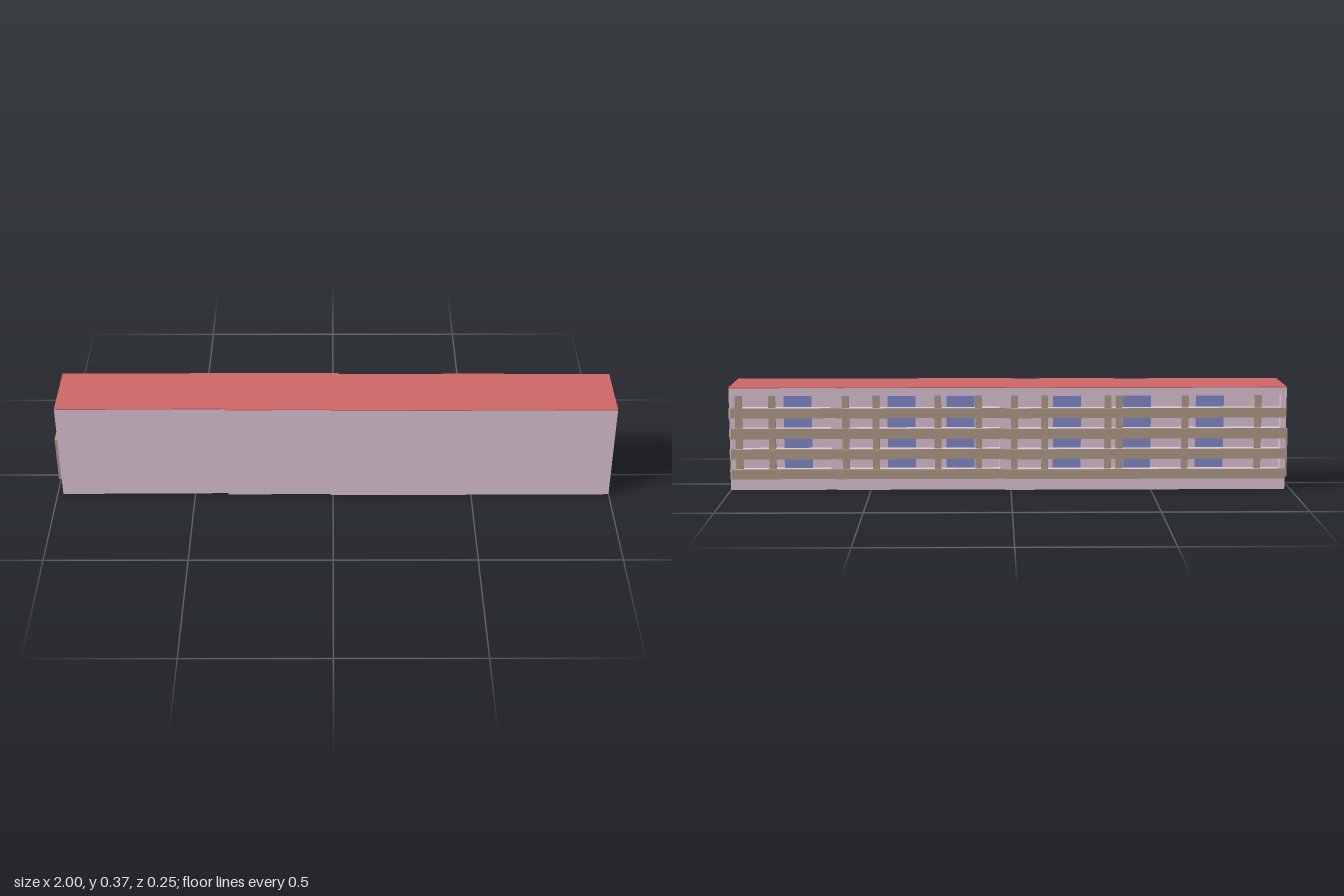
import * as THREE from 'three';

const mat = (color) => new THREE.MeshStandardMaterial({ color });
const wall = mat(0xdcc5d5), red = mat(0xcc6666), brown = mat(0xb09a88), blue = mat(0x808acc);

const H = 0.37, ROOF = 0.003;      // total height and roof skin
const RECESS = 0.03;               // depth of the galleries
const YAW = 0.005;                 // slight skew of each facade section
const BANDS = [[0.04, 0.075], [0.112, 0.148], [0.185, 0.222], [0.26, 0.295]];

// Facade sections at the back: x range, wall z, posts, windows (world x)
const SECTIONS = [
  { x0: -0.98, x1: 0.02, z: -0.115,
    posts: [-0.88, -0.62, -0.385, -0.345, -0.12, 0.0],
    windows: [[-0.76, -0.66], [-0.5, -0.4], [-0.25, -0.15]] },
  { x0: 0.02, x1: 0.62, z: -0.111,
    posts: [0.115, 0.26, 0.48, 0.6],
    windows: [[0.13, 0.23], [0.34, 0.44]] },
  { x0: 0.62, x1: 1.0, z: -0.110,
    posts: [0.85, 0.97],
    windows: [[0.71, 0.81]] },
];

// Stepped front line, from +x to -x
const FRONT = [[1, 0.121], [-0.01, 0.126], [-0.01, 0.118], [-0.38, 0.121], [-0.38, 0.113], [-0.98, 0.117]];

function box(name, material, x0, x1, y0, y1, z0, z1) {
  const m = new THREE.Mesh(new THREE.BoxGeometry(x1 - x0, y1 - y0, z1 - z0), material);
  m.position.set((x0 + x1) / 2, (y0 + y1) / 2, (z0 + z1) / 2);
  m.name = name;
  return m;
}

// Plan outline with the back moved in by the given amount, extruded upwards
function slab(name, material, inset, y0, y1) {
  const pts = FRONT.map(([x, z]) => [x, z]);
  for (const s of SECTIONS) {
    pts.push([s.x0, s.z + inset], [s.x1, s.z - (s.x1 - s.x0) * YAW + inset]);
  }
  const shape = new THREE.Shape(pts.map(([x, z]) => new THREE.Vector2(x, -z)));
  const geo = new THREE.ExtrudeGeometry(shape, { depth: y1 - y0, bevelEnabled: false });
  geo.rotateX(-Math.PI / 2);
  const m = new THREE.Mesh(geo, material);
  m.position.y = y0;
  m.name = name;
  return m;
}

function rectPath(Type, x0, x1, y0, y1) {
  return new Type([[x0, y0], [x1, y0], [x1, y1], [x0, y1]].map(([x, y]) => new THREE.Vector2(x, y)));
}

// One facade section: pierced wall, parapet bands, posts and windows
function facade({ x0, x1, z, posts, windows }) {
  const g = new THREE.Group();
  g.name = 'facadeSection';
  const L = x1 - x0, margin = 0.02;
  const openings = BANDS.map((b, i) => [b[1], i < 3 ? BANDS[i + 1][0] : 0.34]);

  const shape = rectPath(THREE.Shape, 0, L, 0, H - ROOF);
  for (const [a, b] of openings) shape.holes.push(rectPath(THREE.Path, margin, L - margin, a, b));
  const front = new THREE.Mesh(new THREE.ExtrudeGeometry(shape, { depth: RECESS, bevelEnabled: false }), wall);
  front.name = 'facadeWall';
  g.add(front);

  for (const [a, b] of BANDS) g.add(box('parapetBand', brown, 0, L, a, b, -0.006, 0.002));
  for (const [a, b] of openings) {
    for (const p of posts) {
      const c = Math.min(Math.max(p - x0, margin + 0.012), L - margin - 0.012);
      g.add(box('post', brown, c - 0.012, c + 0.012, a, b, 0.004, 0.02));
    }
    for (const [wa, wb] of windows) {
      g.add(box('window', blue, wa - x0, wb - x0, a, b - 0.005, RECESS - 0.003, RECESS + 0.001));
    }
  }
  g.position.set(x0, 0, z);
  g.rotation.y = YAW;
  return g;
}

// Framed entrance on the -x end
function entrance() {
  const g = new THREE.Group();
  g.name = 'entrance';
  const z0 = -0.04, z1 = 0.065, y0 = 0.03, y1 = 0.205, t = 0.014;
  g.add(box('doorJamb', brown, -1, -0.978, y0, y1, z0, z0 + t));
  g.add(box('doorJamb', brown, -1, -0.978, y0, y1, z1 - t, z1));
  g.add(box('doorLintel', brown, -1, -0.978, y1 - t, y1, z0 + t, z1 - t));
  g.add(box('doorSill', brown, -1, -0.978, y0, y0 + 0.006, z0 + t, z1 - t));
  g.add(box('door', brown, -0.986, -0.978, y0 + 0.006, y1 - t, z0 + t, z1 - t));
  return g;
}

export function createModel() {
  const model = new THREE.Group();
  model.name = 'apartmentBlock';
  model.add(slab('mainBody', wall, RECESS, 0, H - ROOF));
  model.add(slab('roof', red, 0, H - ROOF, H));
  for (const s of SECTIONS) model.add(facade(s));
  // Pale end caps of the bands on the +x end
  for (const [a, b] of BANDS) model.add(box('bandEnd', wall, 0.996, 1.0005, a, b, -0.119, -0.1));
  model.add(entrance());
  return model;
}
